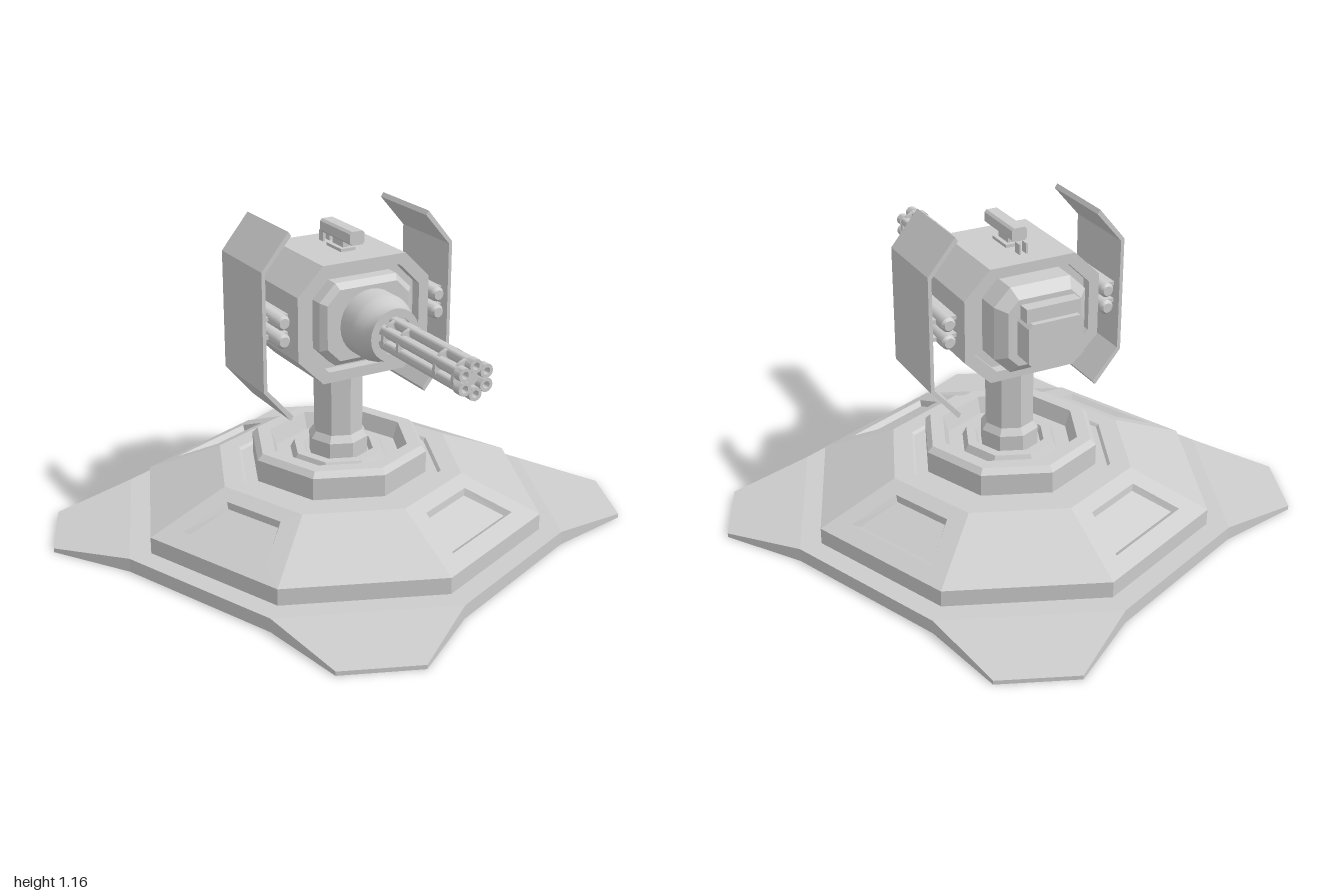
import * as THREE from 'three';
import { toCreasedNormals } from 'three/addons/utils/BufferGeometryUtils.js';

const flat = new THREE.MeshStandardMaterial({ color: 0xcccccc, flatShading: true, side: THREE.DoubleSide });
const smooth = new THREE.MeshStandardMaterial({ color: 0xcccccc, side: THREE.DoubleSide });
const AXIS_Y = 0.83; // height of the gun axis

function add(parent, name, geometry, x = 0, y = 0, z = 0, material = flat) {
  const mesh = new THREE.Mesh(geometry, material);
  mesh.name = name;
  mesh.position.set(x, y, z);
  parent.add(mesh);
  return mesh;
}

const profile = (pts) => pts.map(([r, y]) => new THREE.Vector2(r, y));
const octLathe = (pts) => new THREE.LatheGeometry(profile(pts), 8);
// Round part along z with sharp steps
const turned = (pts, sides) =>
  toCreasedNormals(new THREE.LatheGeometry(profile(pts), sides).rotateX(Math.PI / 2), 0.6);

// Rectangle with cut corners
function cutRect(w, h, c, Type = THREE.Shape) {
  return new Type([[w, h - c], [w - c, h], [c - w, h], [-w, h - c], [-w, c - h], [c - w, -h], [w - c, -h], [w, c - h]]
    .map(([x, y]) => new THREE.Vector2(x, y)));
}

// Extrude from z0 to z1 with an optional single bevel kept inside the outline
function slab(shape, z0, z1, bevel = 0) {
  return new THREE.ExtrudeGeometry(shape, {
    depth: z1 - z0 - 2 * bevel, bevelEnabled: bevel > 0, bevelSegments: 1,
    bevelSize: bevel, bevelOffset: -bevel, bevelThickness: bevel,
  }).translate(0, 0, z0 + bevel);
}

// Eight-sided skirt with four splayed feet and four recessed panels
function baseShell() {
  const pos = [];
  const quad = (a, b, c, d) => pos.push(...a, ...c, ...b, ...a, ...d, ...c);
  const C = Math.cos(Math.PI / 8), S = Math.sin(Math.PI / 8);
  for (let k = 0; k < 8; k++) {
    const phi = (k + 0.5) * Math.PI / 4, cs = Math.cos(phi), sn = Math.sin(phi);
    const at = (n, t, y) => [n * cs - t * sn, y, n * sn + t * cs];
    const edge = (r, y) => [at(r * C, -r * S, y), at(r * C, r * S, y)];
    const band = ([a, b], [d, c]) => quad(a, b, c, d);
    const skirt = edge(0.82, 0.05), ground = edge(0.82, 0);
    const low = edge(0.74, 0.11), high = edge(0.455, 0.235);
    band(skirt, edge(0.74, 0.05));
    band(edge(0.74, 0.05), low);
    if (k % 2 === 0) {
      // foot
      const tip = [at(1.025, -0.14, 0.015), at(1.025, 0.14, 0.015)];
      const toe = [at(1.025, -0.14, 0), at(1.025, 0.14, 0)];
      band(tip, skirt);
      band(toe, tip);
      quad(ground[0], toe[0], tip[0], skirt[0]);
      quad(toe[1], ground[1], skirt[1], tip[1]);
      band(low, high);
    } else {
      // sloping face with its recessed panel
      band(ground, skirt);
      const slope = (n) => 0.11 + (0.684 - n) * 0.475;
      const p = [[0.625, -0.187], [0.625, 0.187], [0.47, 0.12], [0.47, -0.12]];
      const f = [[0.613, -0.17], [0.613, 0.17], [0.482, 0.112], [0.482, -0.112]];
      const outer = [low[0], low[1], high[1], high[0]];
      const rim = p.map(([n, t]) => at(n, t, slope(n)));
      const floor = f.map(([n, t]) => at(n - 0.009, t, slope(n) - 0.019));
      for (let i = 0; i < 4; i++) {
        const j = (i + 1) % 4;
        quad(outer[i], outer[j], rim[j], rim[i]);
        quad(rim[i], rim[j], floor[j], floor[i]);
      }
      quad(...floor);
    }
  }
  const g = new THREE.BufferGeometry();
  g.setAttribute('position', new THREE.Float32BufferAttribute(pos, 3));
  g.computeVertexNormals();
  return g;
}

function makeGun() {
  const gun = new THREE.Group();
  gun.name = 'rotaryGun';
  gun.position.y = AXIS_Y;
  add(gun, 'shroud', turned([[0, 0.19], [0.1, 0.19], [0.1, 0.215], [0.117, 0.22], [0.117, 0.29], [0.112, 0.31],
    [0.098, 0.335], [0.092, 0.36], [0.092, 0.375], [0.065, 0.375], [0.065, 0.365], [0, 0.365]], 28), 0, 0, 0, smooth);
  add(gun, 'spindle', turned([[0.022, 0.3], [0.022, 0.81], [0, 0.81]], 12), 0, 0, 0, smooth);
  const barrel = turned([[0.019, 0.35], [0.019, 0.8], [0.023, 0.8], [0.023, 0.83], [0.012, 0.83], [0.012, 0.76], [0, 0.76]], 12);
  for (let i = 0; i < 6; i++) {
    const a = (i + 0.5) * Math.PI / 3;
    add(gun, 'barrel', barrel, 0.045 * Math.cos(a), 0.045 * Math.sin(a), 0, smooth);
  }
  const clamp = turned([[0, -0.007], [0.06, -0.007], [0.06, 0.007], [0, 0.007]], 24);
  for (const z of [0.39, 0.48, 0.69, 0.79]) add(gun, 'barrelClamp', clamp, 0, 0, z, smooth);
  return gun;
}

// Armour wing with its two tubes and struts, on the +x side
function makeWing() {
  const wing = new THREE.Group();
  const outline = [[0.26, 0.515], [0.357, 0.627], [0.357, 1.033], [0.26, 1.147],
    [0.27, 1.162], [0.37, 1.04], [0.37, 0.62], [0.27, 0.5]];
  add(wing, 'wingPlate', slab(new THREE.Shape(profile(outline)), -0.145, 0.15));
  for (const y of [0.862, 0.798]) {
    add(wing, 'wingTube', turned([[0, -0.16], [0.018, -0.16], [0.026, -0.15], [0.026, 0.165],
      [0.018, 0.177], [0, 0.177]], 14), 0.303, y, 0, smooth);
    add(wing, 'wingStrut', new THREE.BoxGeometry(0.13, 0.014, 0.22), 0.3, y, 0);
  }
  return wing;
}

export function createModel() {
  const model = new THREE.Group();
  model.name = 'turret';

  // Base and pedestal
  add(model, 'base', baseShell());
  add(model, 'collar', octLathe([[0.455, 0.235], [0.38, 0.235], [0.37, 0.225], [0.325, 0.225], [0.325, 0.305],
    [0.305, 0.325], [0.255, 0.325], [0.235, 0.265], [0.18, 0.265], [0.165, 0.295], [0.13, 0.295], [0.12, 0.27], [0, 0.27]]));
  add(model, 'column', octLathe([[0.108, 0.27], [0.108, 0.34], [0.09, 0.365], [0.09, 0.59]]));
  add(model, 'neck', octLathe([[0.09, 0.59], [0.105, 0.59], [0.125, 0.61], [0.125, 0.64]]));

  // Head: hollow-ended housing around a core
  const head = new THREE.Group();
  head.name = 'head';
  model.add(head);
  const frame = cutRect(0.255, 0.208, 0.095);
  frame.holes.push(cutRect(0.217, 0.17, 0.08, THREE.Path));
  add(head, 'housing', slab(frame, -0.173, 0.18), 0, AXIS_Y);
  add(head, 'core', slab(cutRect(0.22, 0.173, 0.08), -0.135, 0.14), 0, AXIS_Y);
  add(head, 'frontPlate', slab(cutRect(0.178, 0.145, 0.06), 0.1, 0.207, 0.02), 0, AXIS_Y);
  add(head, 'rearCover', slab(cutRect(0.172, 0.155, 0.06), -0.257, -0.1, 0.035), 0, AXIS_Y);
  add(head, 'rearPack', slab(cutRect(0.103, 0.077, 0.015), -0.337, -0.24), 0, 0.815);
  add(head, 'rearPackCap', new THREE.BoxGeometry(0.2, 0.05, 0.045), 0, 0.915, -0.295);
  head.add(makeGun());

  // Sight on the roof
  add(head, 'sight', slab(cutRect(0.028, 0.024, 0.008), -0.075, 0.13), 0, 1.098);
  add(head, 'sightStem', new THREE.BoxGeometry(0.024, 0.05, 0.07), 0, 1.06, 0.02);
  add(head, 'sightFoot', new THREE.BoxGeometry(0.056, 0.012, 0.1), 0, 1.043, 0.02);
  for (const x of [-0.013, 0.013]) add(head, 'sightPin', new THREE.BoxGeometry(0.007, 0.04, 0.03), x, 1.055, -0.09);

  // Wings on both sides
  for (const side of [1, -1]) {
    const wing = makeWing();
    wing.name = side > 0 ? 'leftWing' : 'rightWing';
    wing.scale.x = side;
    head.add(wing);
  }
  return model;
}
